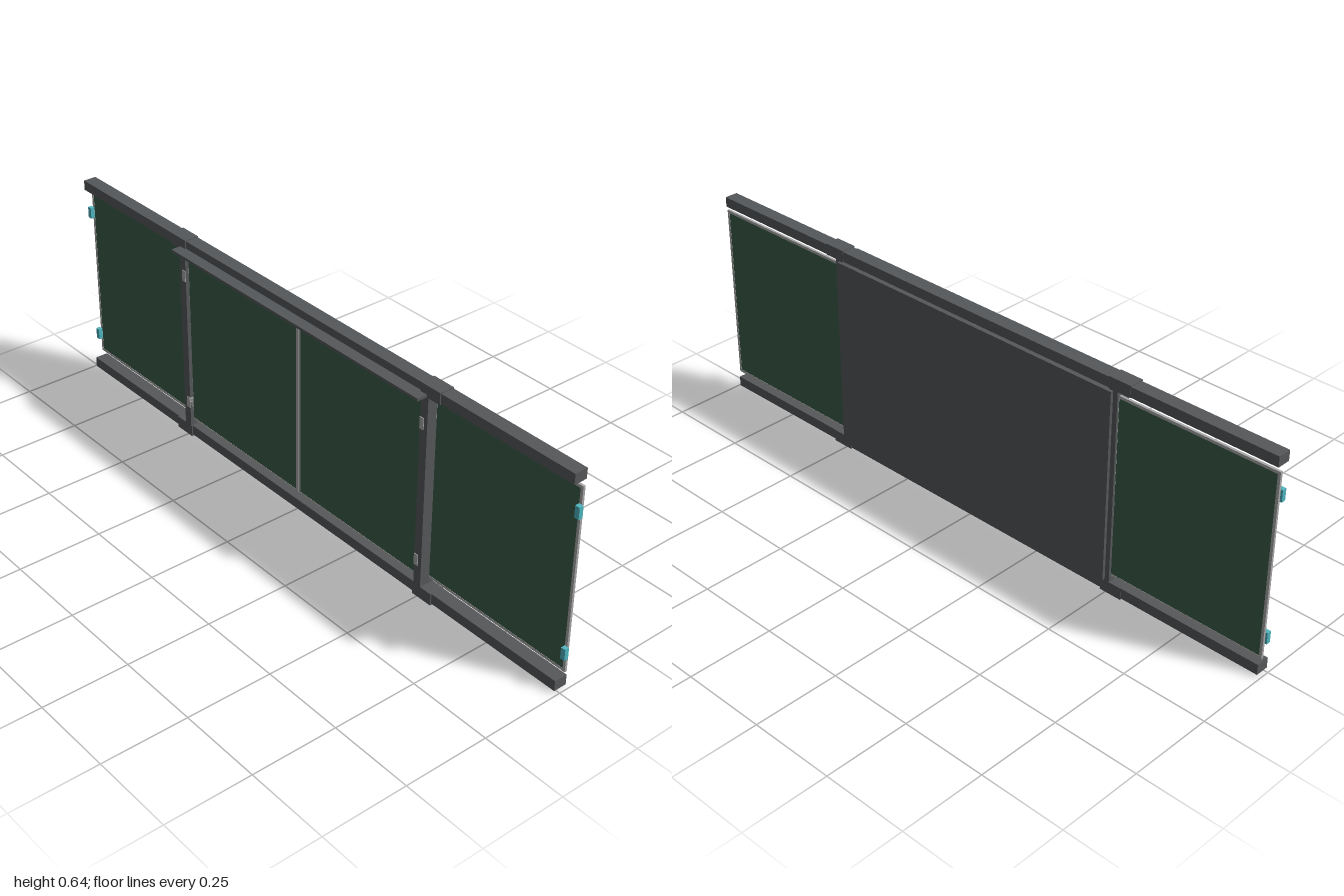
import * as THREE from 'three';

export function createModel() {
  const model = new THREE.Group();
  model.name = 'slidingChalkboard';
  const mat = (name, color) => {
    const m = new THREE.MeshStandardMaterial({ color });
    m.name = name;
    return m;
  };
  const steel = mat('dark grey steel', 0x55585a);
  const green = mat('board green', 0x3b5c4b);
  const silver = mat('silver trim', 0xa9a9a9);
  const cyan = mat('cyan handle', 0x4fb6c0);

  // Box given by its minimum and maximum on each axis
  const box = (parent, name, material, [x0, x1], [y0, y1], [z0, z1]) => {
    const mesh = new THREE.Mesh(new THREE.BoxGeometry(x1 - x0, y1 - y0, z1 - z0), material);
    mesh.position.set((x0 + x1) / 2, (y0 + y1) / 2, (z0 + z1) / 2);
    mesh.name = name;
    parent.add(mesh);
    return mesh;
  };

  // Writing panel with a thin silver frame and two edge handles
  const addBoard = (name, x0, x1, z, side, handleMaterial) => {
    const board = new THREE.Group();
    board.name = name;
    const y0 = 0.052, y1 = 0.598, w = 0.008;
    const depth = [z - 0.0035, z + 0.0035];
    box(board, 'writingPanel', green, [x0 + w, x1 - w], [y0 + w, y1 - w], [z - 0.0028, z + 0.0028]);
    box(board, 'frameBottom', silver, [x0, x1], [y0, y0 + w], depth);
    box(board, 'frameTop', silver, [x0, x1], [y1 - w, y1], depth);
    box(board, 'frameLeft', silver, [x0, x0 + w], [y0 + w, y1 - w], depth);
    box(board, 'frameRight', silver, [x1 - w, x1], [y0 + w, y1 - w], depth);
    const outer = side > 0 ? x1 : x0;
    const hx = [outer - side * 0.008, outer + side * 0.006].sort((a, b) => a - b);
    for (const y of [0.115, 0.531]) {
      box(board, 'handle', handleMaterial, hx, [y - 0.017, y + 0.017], [z + 0.0035, z + 0.0165]);
    }
    model.add(board);
  };

  // Outer boards run behind the two centre boards
  addBoard('outerBoardRight', -0.994, -0.503, -0.0215, -1, cyan);
  addBoard('outerBoardLeft', 0.503, 0.994, -0.0215, 1, cyan);
  addBoard('centreBoardRight', -0.493, -0.001, -0.002, -1, silver);
  addBoard('centreBoardLeft', 0.001, 0.493, -0.002, 1, silver);

  // Long top and bottom guide rails
  box(model, 'topRail', steel, [-0.99, 0.99], [0.612, 0.642], [-0.031, 0.009]);
  box(model, 'bottomRail', steel, [-0.99, 0.99], [0.005, 0.036], [-0.031, 0.009]);

  // Posts with a sleeve around each rail
  for (const s of [-1, 1]) {
    const span = (a, b) => (s > 0 ? [a, b] : [-b, -a]);
    box(model, 'post', steel, span(0.485, 0.511), [0.036, 0.611], [-0.032, 0.0125]);
    box(model, 'topSleeve', steel, span(0.482, 0.551), [0.611, 0.645], [-0.032, 0.0125]);
    box(model, 'bottomSleeve', steel, span(0.482, 0.551), [0, 0.036], [-0.032, 0.0125]);
  }

  // Back cover and the ledge above the centre boards
  box(model, 'backCover', steel, [-0.497, 0.497], [0.04, 0.609], [-0.041, -0.03]);
  box(model, 'topLedge', steel, [-0.505, 0.505], [0.611, 0.619], [0.005, 0.043]);

  return model;
}
